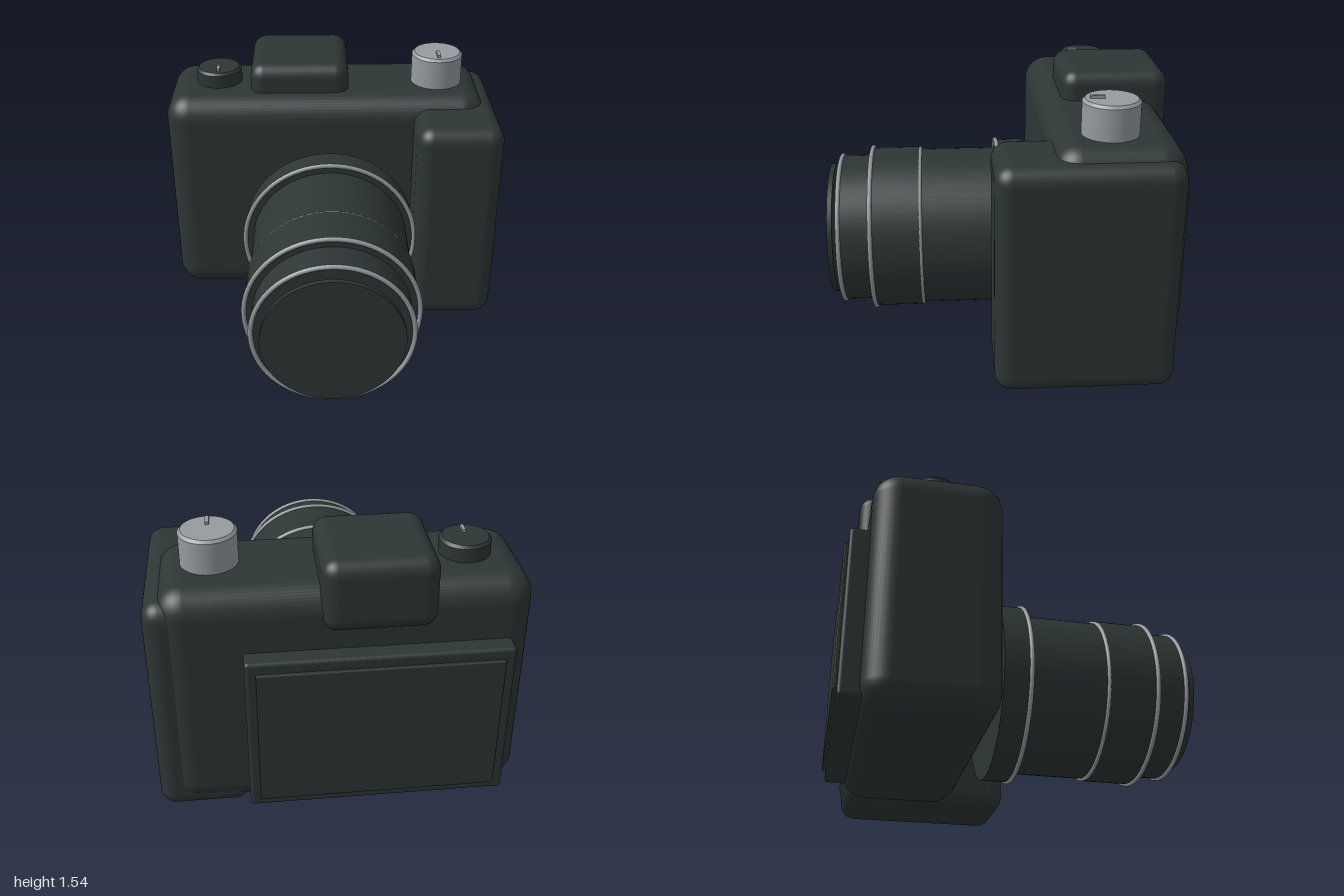
import * as THREE from 'three';
import { RoundedBoxGeometry } from 'three/addons/geometries/RoundedBoxGeometry.js';

export function createModel() {
  const model = new THREE.Group();
  model.name = 'camera';
  const dark = new THREE.MeshStandardMaterial({ name: 'charcoal', color: 0x2d3635 });
  const silver = new THREE.MeshStandardMaterial({ name: 'silver', color: 0x969b9f });

  function add(name, geometry, material, parent = model) {
    const mesh = new THREE.Mesh(geometry, material);
    mesh.name = name;
    parent.add(mesh);
    return mesh;
  }

  // Rounded box given by its extents on each axis
  function block(name, [x0, x1], [y0, y1], [z0, z1], radius, material = dark) {
    const geometry = new RoundedBoxGeometry(x1 - x0, y1 - y0, z1 - z0, 5, radius);
    add(name, geometry, material).position.set((x0 + x1) / 2, (y0 + y1) / 2, (z0 + z1) / 2);
  }

  // Housing
  block('body', [-0.98, 0.91], [0.03, 1.34], [-0.88, -0.2], 0.14);
  block('handGrip', [0.48, 0.975], [0.003, 1.275], [-0.86, 0.095], 0.09);
  block('viewfinderHump', [-0.48, 0.1], [1.11, 1.5], [-0.925, -0.33], 0.08);
  block('screenFrame', [-0.87, 0.49], [0.1, 1.01], [-0.98, -0.82], 0.02);
  block('screen', [-0.815, 0.435], [0.155, 0.95], [-1, -0.94], 0.006);

  // Lens, built along +z around its own axis
  const lens = new THREE.Group();
  lens.name = 'lens';
  lens.position.set(-0.02, 0.543, 0);
  model.add(lens);
  const sections = [
    ['lensMount', 0.505, -0.115, 0.035],
    ['lensBarrel', 0.457, 0.03, 0.48],
    ['zoomCollar', 0.47, 0.48, 0.755],
    ['lensHead', 0.427, 0.75, 0.935],
    ['frontDisc', 0.38, 0.972, 1],
  ];
  for (const [name, radius, z0, z1] of sections) {
    const geometry = new THREE.CylinderGeometry(radius, radius, z1 - z0, 64).rotateX(Math.PI / 2);
    add(name, geometry, dark, lens).position.z = (z0 + z1) / 2;
  }
  // Silver trim rings: outer radius, position
  for (const [radius, z] of [[0.517, 0.035], [0.471, 0.48], [0.485, 0.755], [0.44, 0.935]]) {
    const tube = 0.013;
    add('trimRing', new THREE.TorusGeometry(radius - tube, tube, 10, 72), silver, lens).position.z = z;
  }

  // Dial with a softened top edge and a raised index mark
  function dial(name, x, z, radius, top, material, mark) {
    const bevel = 0.015;
    const profile = [
      [0, 1.31], [radius, 1.31], [radius, 1.31], [radius, top - bevel], [radius, top - bevel],
      [radius - bevel, top], [radius - bevel, top], [0, top],
    ].map(([r, y]) => new THREE.Vector2(r, y));
    add(name, new THREE.LatheGeometry(profile, 48), material).position.set(x, 0, z);
    add(name + 'Mark', new THREE.BoxGeometry(mark.width, 0.03, mark.length), silver)
      .position.set(x, top, mark.z);
  }
  dial('modeDial', -0.675, -0.54, 0.135, 1.43, dark, { width: 0.018, length: 0.065, z: -0.48 });
  dial('shutterDial', 0.633, -0.51, 0.15, 1.525, silver, { width: 0.02, length: 0.075, z: -0.438 });

  return model;
}
